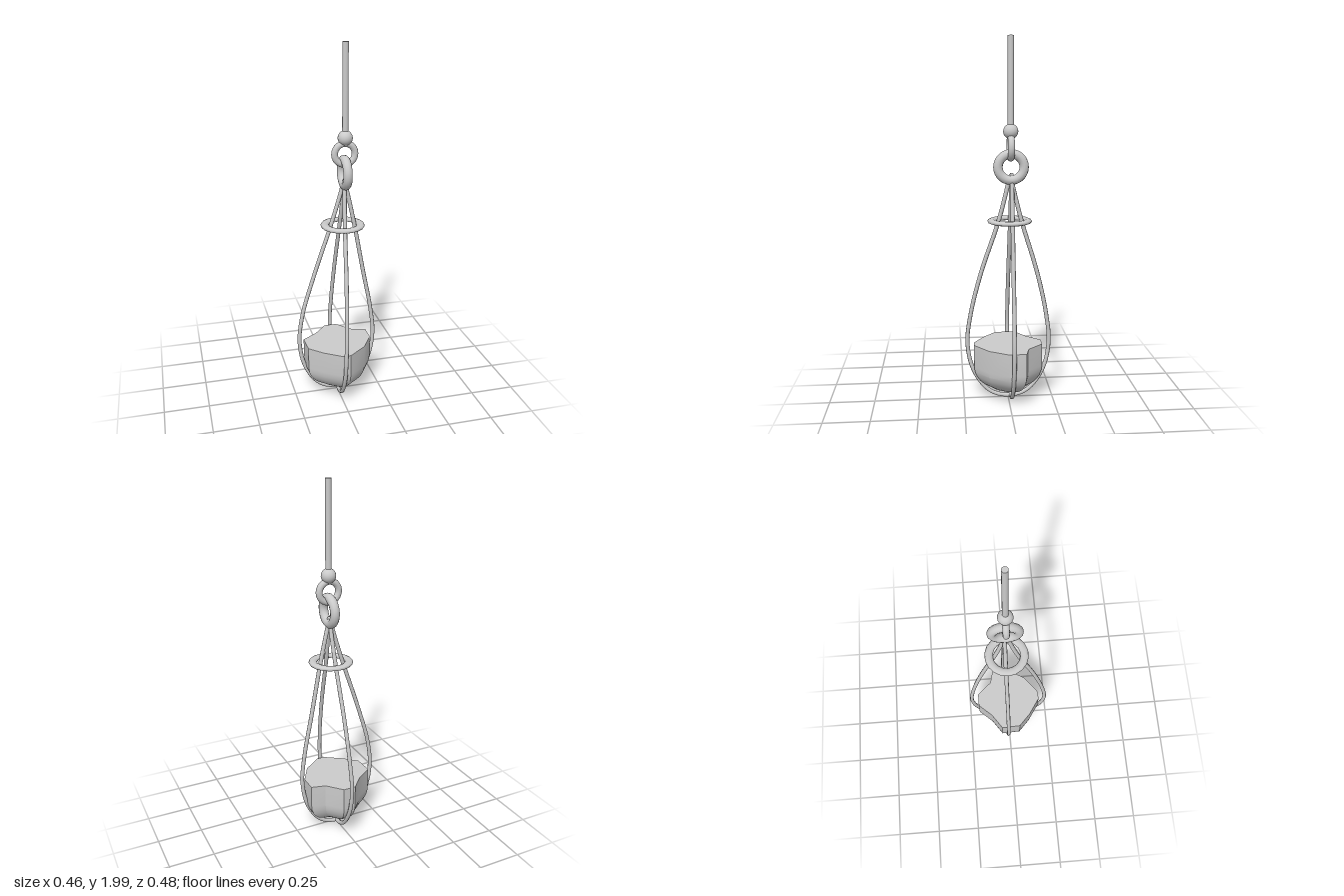
import * as THREE from 'three';
import { toCreasedNormals } from 'three/addons/utils/BufferGeometryUtils.js';

export function createModel() {
  const model = new THREE.Group();
  const material = new THREE.MeshStandardMaterial({ color: 0xcccccc });
  const CX = 0.046, CZ = -0.01; // axis of the hanging hardware

  function add(name, geometry, x = 0, y = 0, z = 0) {
    const mesh = new THREE.Mesh(geometry, material);
    mesh.name = name;
    mesh.position.set(x, y, z);
    model.add(mesh);
    return mesh;
  }

  // Hanging rod and the ball at its lower end
  add('rod', new THREE.CylinderGeometry(0.016, 0.016, 0.49, 16), CX, 1.755, CZ);
  add('ball', new THREE.SphereGeometry(0.04, 20, 14), CX, 1.51, CZ);

  // Two interlocked chain links at right angles
  add('upperLink', new THREE.TorusGeometry(0.056, 0.018, 12, 24), 0.044, 1.425, CZ);
  add('lowerLink', new THREE.TorusGeometry(0.07, 0.025, 12, 28), 0.044, 1.322, CZ - 0.002)
    .rotation.y = Math.PI / 2;

  // Flattened spreader ring around the ropes
  const ring = new THREE.TorusGeometry(0.098, 0.023, 10, 18).rotateX(Math.PI / 2).scale(1, 0.55, 1);
  add('spreaderRing', ring, 0.032, 1.03, -0.006);

  // Rope loops that cradle the bowl
  function rope(name, points) {
    const curve = new THREE.CatmullRomCurve3(points.map(p => new THREE.Vector3(...p)), true);
    add(name, new THREE.TubeGeometry(curve, 96, 0.0115, 8, true));
  }
  const lower = [[-0.2, 0.5], [-0.218, 0.33], [-0.185, 0.17], [-0.1, 0.05], [0, 0.02],
    [0.1, 0.05], [0.185, 0.17], [0.218, 0.33], [0.202, 0.5]];
  const side = [[0.042, 1.28], [0.026, 1.22], [-0.032, 1.03], [-0.13, 0.74], ...lower,
    [0.155, 0.74], [0.1, 1.03], [0.058, 1.22]];
  rope('sideRope', side.map(([x, y]) => [x, y, -0.015 - 0.01 * x]));

  const depth = [[-0.008, 1.28], [0.006, 1.22], [0.054, 1.03], [0.15, 0.74],
    ...lower.map(([a, y]) => [-a * 1.045, y]),
    [-0.158, 0.74], [-0.07, 1.03], [-0.022, 1.22]];
  rope('frontBackRope', depth.map(([z, y]) =>
    [0.003 - 0.035 * z + 0.039 * Math.max(0, (y - 0.35) / 0.93), y, z]));

  // Faceted bowl-shaped block: one outline, scaled down along a rounded profile
  const outline = [[-0.03, -0.188], [0.04, -0.188], [0.115, -0.105], [0.193, -0.085],
    [0.193, 0.01], [0.13, 0.115], [0.03, 0.192], [-0.015, 0.192],
    [-0.11, 0.128], [-0.182, 0.06], [-0.187, -0.05], [-0.1, -0.11]];
  const profile = [[0, 0.33], [1, 0.33]];
  const steps = 8;
  for (let i = 0; i <= steps; i++) {
    const t = i / steps * Math.PI / 2;
    profile.push([i === steps ? 0 : Math.cos(t), 0.205 - 0.15 * Math.sin(t)]);
  }
  const verts = [];
  const corner = (row, i) => {
    const [s, y] = profile[row];
    const [x, z] = outline[i % outline.length];
    return [x * s, y, z * s];
  };
  for (let r = 0; r < profile.length - 1; r++) {
    for (let i = 0; i < outline.length; i++) {
      const a = corner(r, i), b = corner(r, i + 1);
      const c = corner(r + 1, i + 1), d = corner(r + 1, i);
      if (profile[r][0] > 0) verts.push(...a, ...b, ...c);
      if (profile[r + 1][0] > 0) verts.push(...a, ...c, ...d);
    }
  }
  const bowl = new THREE.BufferGeometry();
  bowl.setAttribute('position', new THREE.Float32BufferAttribute(verts, 3));
  add('bowl', toCreasedNormals(bowl, 0.4));

  return model;
}
